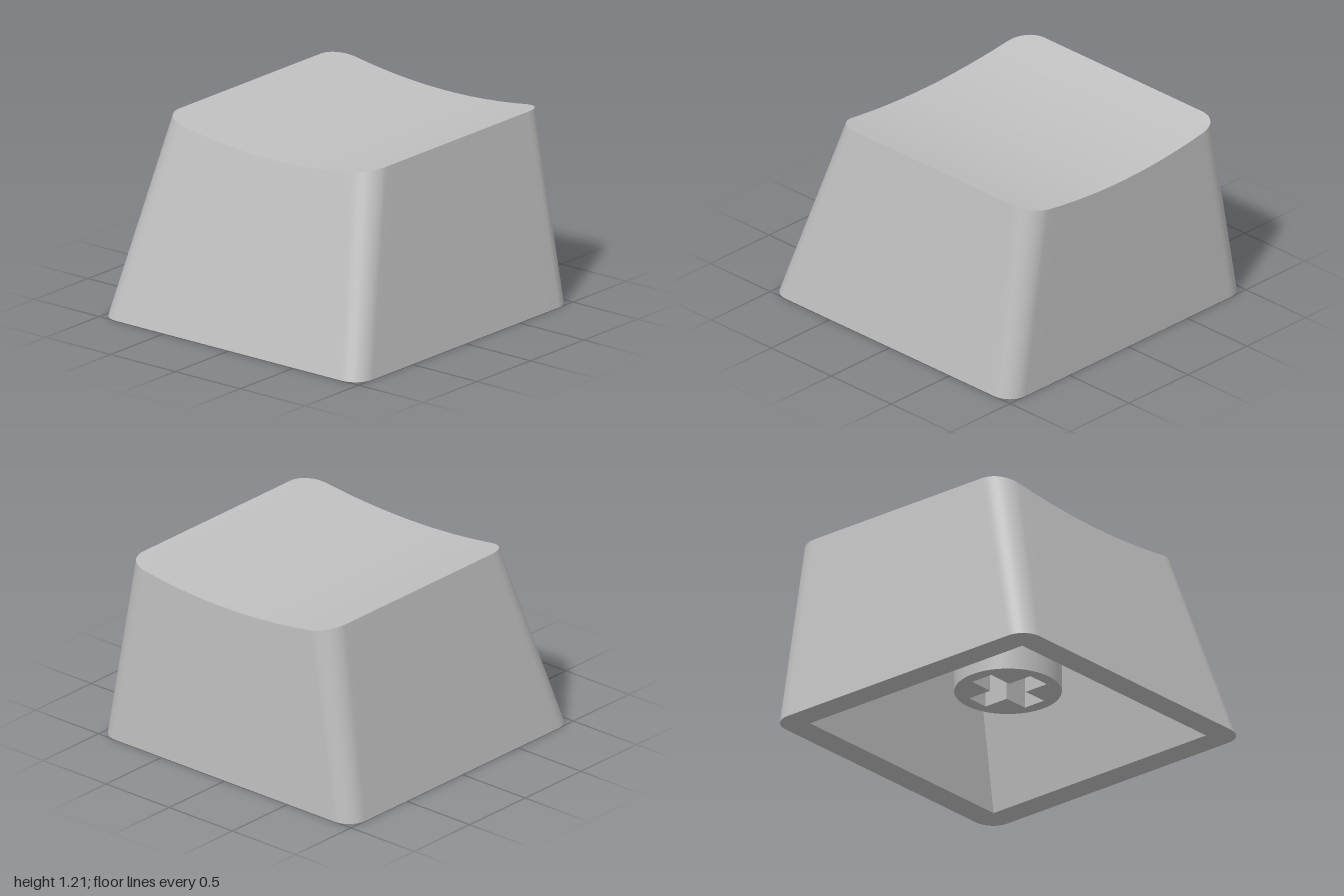
import * as THREE from 'three';

const EDGE = 12, ARC = 8; // steps along each side and around each corner
const CEILING = 0.95, STEM_BASE = 0.25, WALL = 0.165;

// Shallow cylindrical dish across x
const dish = (x) => 1.125 + 0.126 * (x - 0.04) ** 2;

// Rounded rectangle section of the tapering body at height y
function outline(y, inset, r) {
  const right = 1 - 0.1667 * y - inset, left = -1 + 0.1605 * y + inset;
  const front = 1 - 0.294 * y - inset, back = -1 + 0.0146 * y + inset;
  const corners = [
    [right - r, front - r], [left + r, front - r],
    [left + r, back + r], [right - r, back + r],
  ];
  const points = [];
  corners.forEach(([cx, cz], k) => {
    for (let i = 0; i <= ARC; i++) {
      const a = (k + i / ARC) * Math.PI / 2;
      points.push(new THREE.Vector3(cx + r * Math.cos(a), y, cz + r * Math.sin(a)));
    }
    const start = points[points.length - 1];
    const [nx, nz] = corners[(k + 1) % 4];
    const a = (k + 1) * Math.PI / 2;
    const end = new THREE.Vector3(nx + r * Math.cos(a), y, nz + r * Math.sin(a));
    for (let i = 1; i < EDGE; i++) points.push(start.clone().lerp(end, i / EDGE));
  });
  return points;
}

// Surface through a list of closed rings
function loft(rings, flat = false) {
  const n = rings[0].length, index = [];
  for (let j = 0; j < rings.length - 1; j++) {
    for (let i = 0; i < n; i++) {
      const p = j * n + i, p2 = j * n + (i + 1) % n;
      index.push(p, p + n, p2, p2, p + n, p2 + n);
    }
  }
  let geometry = new THREE.BufferGeometry().setFromPoints(rings.flat());
  geometry.setIndex(index);
  if (flat) geometry = geometry.toNonIndexed();
  geometry.computeVertexNormals();
  return geometry;
}

// Hollow post with a cross-shaped socket
function stemGeometry() {
  const shape = new THREE.Shape().absarc(0, 0, 0.32, 0, Math.PI * 2);
  const l = 0.24, w = 0.075;
  const cross = [
    [l, -w], [l, w], [w, w], [w, l], [-w, l], [-w, w],
    [-l, w], [-l, -w], [-w, -w], [-w, -l], [w, -l], [w, -w],
  ];
  shape.holes.push(new THREE.Path(cross.map(([x, y]) => new THREE.Vector2(x, y))));
  const geometry = new THREE.ExtrudeGeometry(shape, {
    depth: CEILING - STEM_BASE, bevelEnabled: false, curveSegments: 48,
  });
  return geometry.rotateX(-Math.PI / 2).translate(0, STEM_BASE, 0);
}

export function createModel() {
  const group = new THREE.Group();
  group.name = 'keycap';
  const grey = new THREE.MeshStandardMaterial({ color: 0xc0c0c0 });
  grey.name = 'light grey plastic';
  const add = (name, geometry) => {
    const mesh = new THREE.Mesh(geometry, grey);
    mesh.name = name;
    group.add(mesh);
  };

  // Top edge: where the tapering walls meet the dish
  const bottom = outline(0, 0, 0.13);
  const top = outline(1.2, 0, 0.15).map((point, i) => {
    let p = point;
    for (let k = 0; k < 4; k++) p = outline(dish(p.x), 0, 0.15)[i];
    return p;
  });
  add('outerWalls', loft([bottom, top]));

  // Dished top, in rings shrinking to the middle
  const topRings = [];
  for (let j = 0; j <= 12; j++) {
    const s = 1 - j / 12;
    topRings.push(top.map((p) => {
      const x = p.x * s;
      return new THREE.Vector3(x, dish(x), -0.16 + (p.z + 0.16) * s);
    }));
  }
  topRings[0] = top;
  add('dishedTop', loft(topRings));

  // Underside rim and sharp-cornered hollow
  const opening = outline(0, WALL, 0);
  const ceiling = outline(CEILING, WALL, 0);
  const middle = ceiling.map(() => new THREE.Vector3(0, CEILING, -0.13));
  add('bottomRim', loft([opening, bottom], true));
  add('innerWalls', loft([ceiling, opening], true));
  add('innerCeiling', loft([middle, ceiling], true));

  add('stem', stemGeometry());
  return group;
}
